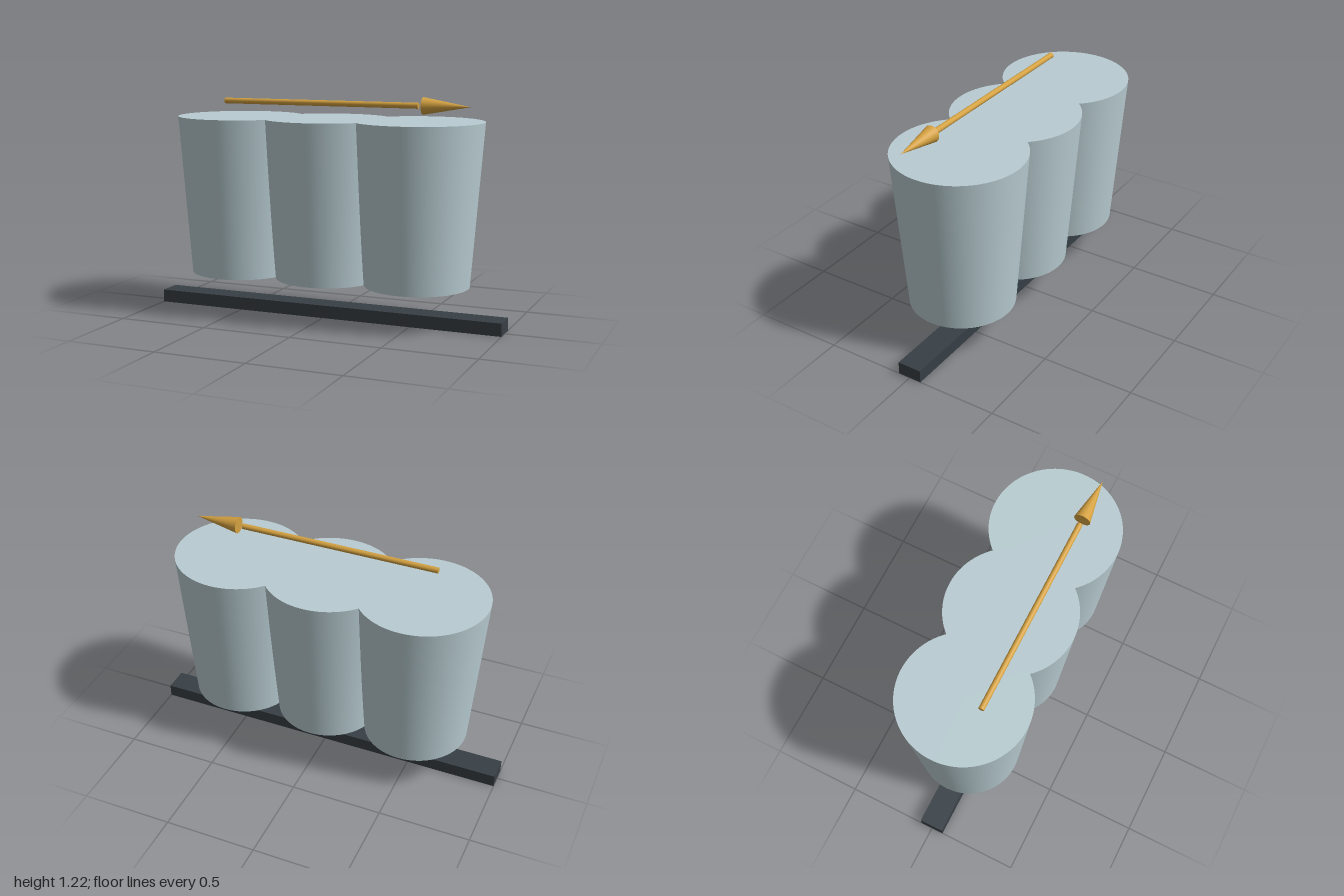
import * as THREE from 'three';

export function createModel() {
  const model = new THREE.Group();
  const material = (name, color) => {
    const m = new THREE.MeshStandardMaterial({ color });
    m.name = name;
    return m;
  };
  const paleBlue = material('paleBlueGrey', 0xb8ccd1);
  const charcoal = material('charcoal', 0x373f45);
  const gold = material('gold', 0xd4a140);

  const add = (parent, name, geometry, mat, x, y, z) => {
    const mesh = new THREE.Mesh(geometry, mat);
    mesh.name = name;
    mesh.position.set(x, y, z);
    parent.add(mesh);
    return mesh;
  };

  // Base bar
  add(model, 'baseBar', new THREE.BoxGeometry(2, 0.07, 0.134), charcoal, 0, 0.035, 0);

  // Three overlapping tapered vessels in a row
  const vessels = new THREE.Group();
  vessels.name = 'vessels';
  model.add(vessels);
  const vesselGeometry = new THREE.CylinderGeometry(0.349, 0.282, 0.873, 96);
  ['rightVessel', 'middleVessel', 'leftVessel'].forEach((name, i) =>
    add(vessels, name, vesselGeometry, paleBlue, (i - 1) * 0.516, 0.6525, 0));

  // Arrow floating above the vessels, pointing to +x
  const arrow = new THREE.Group();
  arrow.name = 'arrow';
  arrow.position.set(0, 1.178, 0.116);
  arrow.rotation.z = -Math.PI / 2;
  model.add(arrow);
  add(arrow, 'arrowShaft', new THREE.CylinderGeometry(0.0155, 0.0155, 1.106, 24), gold, 0, 0, 0);
  add(arrow, 'arrowHead', new THREE.ConeGeometry(0.045, 0.25, 32), gold, 0, 0.704, 0);

  return model;
}
